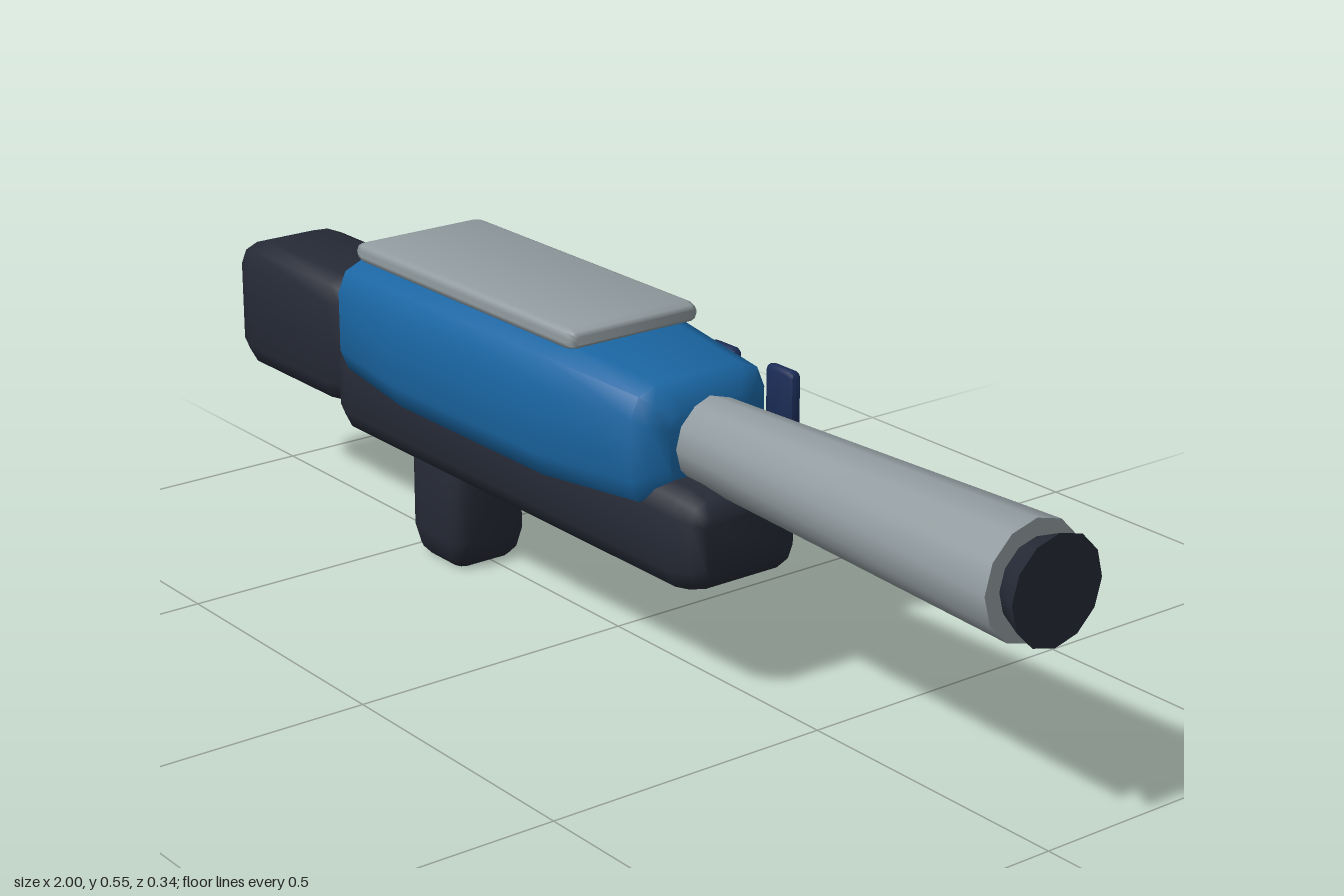
import * as THREE from 'three';
import { toCreasedNormals } from 'three/addons/utils/BufferGeometryUtils.js';

const DARK = 0x262a36, BLUE = 0x1a66a3, GREY = 0x929ca0, NAVY = 0x1a2b55;
const CZ = 0.009; // centre plane of the main parts
const AXIS_Y = 0.403; // height of the barrel axis

// Skin of chamfered rectangles along x; each section is [x, halfHeight, halfDepth, corner]
function loft(sections) {
  const pos = [], idx = [], n = 12;
  for (const [x, h, d, c] of sections) {
    const quarter = [[h - c, d], [h - c * 0.3, d - c * 0.3], [h, d - c]];
    const mirror = quarter.slice().reverse();
    const ring = [
      ...quarter,
      ...mirror.map(([y, z]) => [y, -z]),
      ...quarter.map(([y, z]) => [-y, -z]),
      ...mirror.map(([y, z]) => [-y, z]),
    ];
    for (const [y, z] of ring) pos.push(x, y, z);
  }
  for (let s = 0; s < sections.length - 1; s++) {
    for (let i = 0; i < n; i++) {
      const a = s * n + i, b = s * n + (i + 1) % n;
      idx.push(a, a + n, b, b, a + n, b + n);
    }
  }
  // End caps
  const last = (sections.length - 1) * n;
  for (let i = 1; i < n - 1; i++) {
    idx.push(0, i, i + 1);
    idx.push(last, last + i + 1, last + i);
  }
  const geo = new THREE.BufferGeometry();
  geo.setAttribute('position', new THREE.Float32BufferAttribute(pos, 3));
  geo.setIndex(idx);
  return toCreasedNormals(geo, 0.85);
}

// Softly bevelled block: length along x, height, depth, edge size
function softBlock(l, h, d, c, end = c) {
  const x = l / 2, a = h / 2, b = d / 2, k = c * 0.3, m = c * 0.75;
  return loft([
    [-x, a - m, b - m, c * 0.5],
    [-x + end * 0.3, a - k, b - k, c * 0.8],
    [-x + end, a, b, c],
    [x - end, a, b, c],
    [x - end * 0.3, a - k, b - k, c * 0.8],
    [x, a - m, b - m, c * 0.5],
  ]);
}

export function createModel() {
  const model = new THREE.Group();
  const add = (name, geometry, color, x, y, z = CZ) => {
    const mesh = new THREE.Mesh(geometry, new THREE.MeshStandardMaterial({ color }));
    mesh.name = name;
    mesh.position.set(x, y, z);
    model.add(mesh);
    return mesh;
  };

  // Blue housing, tapering towards both ends
  add('housing', loft([
    [-0.605, 0.075, 0.115, 0.035],
    [-0.59, 0.102, 0.138, 0.05],
    [-0.4, 0.117, 0.159, 0.058],
    [0.0, 0.117, 0.159, 0.058],
    [0.215, 0.1, 0.132, 0.05],
    [0.235, 0.085, 0.115, 0.045],
    [0.25, 0.06, 0.085, 0.03],
  ]), BLUE, 0, AXIS_Y);

  // Dark lower parts
  add('lowerRail', softBlock(1.005, 0.168, 0.229, 0.04, 0.05), DARK, -0.1625, 0.27);
  add('stock', softBlock(0.367, 0.233, 0.212, 0.042, 0.06), DARK, -0.8165, 0.332);
  const grip = add('grip', softBlock(0.25, 0.147, 0.152, 0.03, 0.05), DARK, -0.4135, 0.127);
  grip.rotation.z = Math.PI / 2;

  // Thin plate on top
  add('topPlate', softBlock(0.615, 0.034, 0.257, 0.013, 0.022), GREY, -0.2475, 0.535);

  // Twelve-sided flared barrel with a dark muzzle
  const tube = (back, front, length) => {
    const geo = new THREE.CylinderGeometry(front, back, length, 12);
    return toCreasedNormals(geo.rotateZ(-Math.PI / 2), 0.9);
  };
  add('barrel', tube(0.07, 0.094, 0.745), GREY, 0.5825, AXIS_Y);
  add('muzzle', tube(0.06, 0.086, 0.06), DARK, 0.97, AXIS_Y);

  // Three buttons along the back side
  for (let i = 0; i < 3; i++) {
    add('button' + (i + 1), softBlock(0.07, 0.124, 0.021, 0.009, 0.012), NAVY, -0.07 + i * 0.145, 0.417, -0.1575);
  }
  return model;
}
